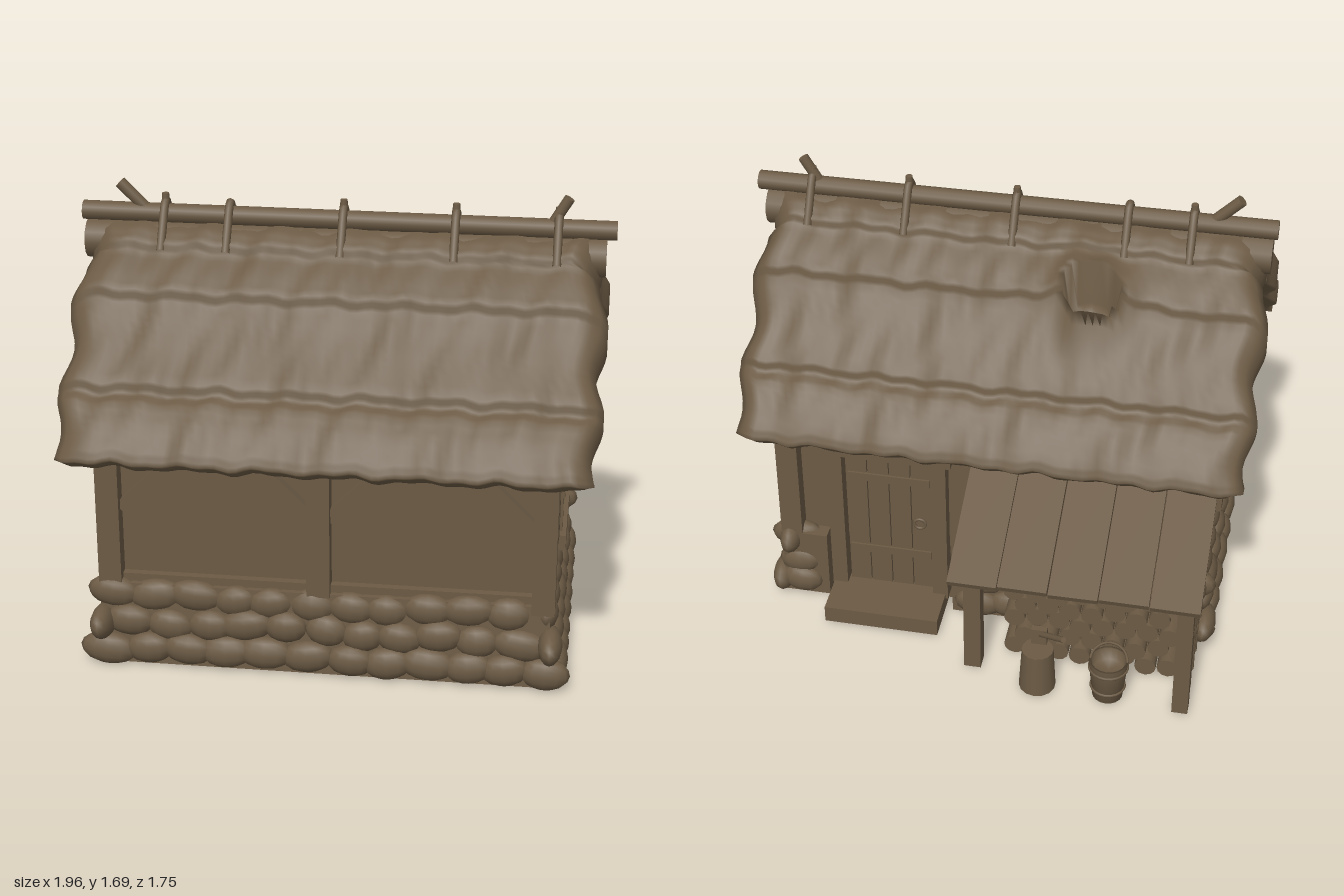
import * as THREE from 'three';
import { mergeGeometries } from 'three/addons/utils/BufferGeometryUtils.js';

const brown = new THREE.MeshStandardMaterial({ color: 0x6b5a44 });
brown.name = 'weatheredBrown';
const V = (x, y, z) => new THREE.Vector3(x, y, z);
const RIDGE_Z = 0.19;

let seed = 7;
const rnd = () => (seed = (seed * 16807) % 2147483647) / 2147483647;
const jit = (a) => (rnd() - 0.5) * 2 * a;

export function createModel() {
  const root = new THREE.Group();
  root.name = 'cottage';

  const add = (name, geo, x = 0, y = 0, z = 0) => {
    const m = new THREE.Mesh(geo, brown);
    m.name = name;
    m.position.set(x, y, z);
    root.add(m);
    return m;
  };
  // box given by its min and max on each axis
  const box = (name, x0, x1, y0, y1, z0, z1) =>
    add(name, new THREE.BoxGeometry(x1 - x0, y1 - y0, z1 - z0), (x0 + x1) / 2, (y0 + y1) / 2, (z0 + z1) / 2);
  // bar between two points, square or round
  const bar = (name, a, b, w, d = w, round = false) => {
    const dir = b.clone().sub(a), len = dir.length();
    const geo = round ? new THREE.CylinderGeometry(w, d, len, 12) : new THREE.BoxGeometry(w, len, d);
    const m = add(name, geo);
    m.position.copy(a).add(b).multiplyScalar(0.5);
    m.quaternion.setFromUnitVectors(V(0, 1, 0), dir.normalize());
    return m;
  };

  // --- stone base: tapered core with a doorway gap at the back ---
  const core = new THREE.BoxGeometry(1.7, 0.31, 1.07);
  const cp = core.attributes.position;
  for (let i = 0; i < cp.count; i++) if (cp.getY(i) > 0) {
    cp.setX(i, cp.getX(i) * 0.95);
    if (cp.getZ(i) > 0) cp.setZ(i, cp.getZ(i) - 0.03);
  }
  core.computeVertexNormals();
  add('stoneCore', core, 0, 0.155, 0.235);
  box('backFootingRight', -0.83, 0.15, 0, 0.3, -0.37, -0.3);
  box('backFootingLeft', 0.65, 0.83, 0, 0.3, -0.37, -0.3);

  const stones = [];
  const stone = (x, y, z, sx, sy, sz) => {
    const g = new THREE.SphereGeometry(1, 12, 8);
    g.scale(sx, sy, sz);
    g.rotateX(jit(0.15)); g.rotateZ(jit(0.15));
    g.translate(x, y, z);
    stones.push(g);
  };
  for (let row = 0; row < 3; row++) {
    const y = 0.055 + row * 0.1, inset = row * 0.02;
    for (const s of [1, -1]) {
      const off = row % 2 ? 0.07 : 0;
      for (let x = -0.8 + off; x <= 0.81; x += 0.145 + jit(0.015)) {
        if (s < 0 && x > 0.09 && x < 0.71) continue;
        stone(x * (1 - inset * 0.6), y + jit(0.01), (s > 0 ? 0.765 : -0.365) - s * inset, 0.095 + jit(0.015), 0.062, 0.045);
      }
      for (let z = -0.33 + off; z <= 0.76; z += 0.145 + jit(0.015))
        stone(s * (0.84 - inset), y + jit(0.01), z, 0.045, 0.062, 0.095 + jit(0.015));
    }
  }
  for (const g of stones) g.translate(0, 0.008, 0);
  add('foundationStones', mergeGeometries(stones));

  // --- plaster walls and gables ---
  box('walls', -0.78, 0.78, 0.28, 0.87, -0.31, 0.69);
  const tri = new THREE.Shape([[-0.53, 0], [0.53, 0], [0, 0.52]].map(([a, b]) => new THREE.Vector2(a, b)));
  const gable = new THREE.ExtrudeGeometry(tri, { depth: 1.52, bevelEnabled: false });
  gable.rotateY(Math.PI / 2);
  add('gableWalls', gable, -0.76, 0.85, RIDGE_Z);

  // --- timber frame ---
  for (const s of [1, -1]) {
    for (const z of [0.705, -0.325]) box('cornerPost', s * 0.79 - 0.042, s * 0.79 + 0.042, 0.28, 0.84, z - 0.045, z + 0.045);
    const x = s * 0.785;
    box('gableTieBeam', x - 0.035, x + 0.035, 0.83, 0.89, -0.35, 0.73);
    bar('kingPost', V(x, 0.87, RIDGE_Z), V(x, 1.38, RIDGE_Z), 0.05, 0.06);
    bar('collarBeam', V(x, 1.14, -0.02), V(x, 1.14, 0.4), 0.04, 0.045);
    for (const t of [1, -1]) {
      bar('gableStrut', V(x, 0.9, RIDGE_Z + t * 0.05), V(x, 1.08, RIDGE_Z + t * 0.23), 0.04, 0.045);
      bar('upperStrut', V(x, 1.15, RIDGE_Z + t * 0.14), V(x, 1.27, RIDGE_Z + t * 0.02), 0.03, 0.035);
      bar('gableRafter', V(x + s * 0.02, 0.84, RIDGE_Z + t * 0.54), V(x + s * 0.02, 1.37, RIDGE_Z), 0.07, 0.06);
      bar('sideBrace', V(x, 0.7, RIDGE_Z + t * 0.48), V(x, 0.83, RIDGE_Z + t * 0.36), 0.03, 0.04);
    }
    bar('frontBrace', V(s * 0.75, 0.6, 0.705), V(s * 0.53, 0.82, 0.705), 0.045, 0.035);
    bar('middleBrace', V(-0.02 + s * 0.03, 0.6, 0.705), V(-0.02 + s * 0.25, 0.82, 0.705), 0.045, 0.035);
  }
  box('frontMiddlePost', -0.065, 0.02, 0.3, 0.84, 0.67, 0.75);
  box('frontPlate', -0.84, 0.84, 0.8, 0.87, 0.66, 0.75);
  box('backPlate', -0.84, 0.84, 0.8, 0.87, -0.37, -0.28);
  box('frontSill', -0.78, 0.78, 0.3, 0.34, 0.67, 0.72);
  box('backMiddlePost', 0.04, 0.11, 0.28, 0.82, -0.36, -0.29);

  // --- side windows with shutters ---
  for (const s of [1, -1]) {
    const slab = (name, out, y0, y1, z0, z1) =>
      box(name, Math.min(s * 0.76, s * out), Math.max(s * 0.76, s * out), y0, y1, z0, z1);
    slab('shutter', 0.83, 0.42, 0.665, 0.33, 0.49);
    slab('shutter', 0.83, 0.42, 0.665, -0.12, 0.06);
    slab('windowLintel', 0.85, 0.65, 0.715, -0.01, 0.4);
    slab('windowSill', 0.855, 0.375, 0.435, -0.02, 0.4);
    slab('windowJamb', 0.84, 0.42, 0.67, 0.31, 0.36);
    slab('windowJamb', 0.84, 0.42, 0.67, 0.03, 0.08);
    slab('windowMullion', 0.81, 0.43, 0.66, 0.183, 0.207);
    slab('windowBar', 0.81, 0.535, 0.555, 0.08, 0.31);
  }

  // --- back door and step ---
  for (let i = 0; i < 4; i++) box('doorPlank', 0.232 + i * 0.085, 0.313 + i * 0.085, 0.07, 0.72, -0.33, -0.29);
  box('doorPost', 0.17, 0.23, 0.05, 0.78, -0.365, -0.29);
  box('doorPost', 0.575, 0.635, 0.05, 0.78, -0.365, -0.29);
  box('doorLintel', 0.15, 0.655, 0.71, 0.78, -0.37, -0.29);
  for (const y of [0.22, 0.58]) box('doorStrap', 0.24, 0.56, y, y + 0.035, -0.338, -0.32);
  add('doorRing', new THREE.TorusGeometry(0.022, 0.006, 8, 16), 0.28, 0.4, -0.34);
  box('doorStep', 0.18, 0.63, 0, 0.07, -0.525, -0.28);

  // --- thatched roof: one closed cross-section swept along x ---
  const half = [[0, 1.53], [0.06, 1.515], [0.11, 1.48], [0.122, 1.445], [0.19, 1.395], [0.25, 1.345], [0.262, 1.3],
    [0.33, 1.225], [0.4, 1.155], [0.485, 1.075], [0.496, 1.035], [0.54, 1.015], [0.6, 0.96], [0.665, 0.885], [0.685, 0.845], [0.66, 0.818]];
  const fine = [];
  half.forEach(([d, y], i) => {
    const n = half[i + 1];
    if (n) for (let k = 0; k < 3; k++) fine.push([d + (n[0] - d) * k / 3, y + (n[1] - y) * k / 3]);
    else fine.push([d, y]);
  });
  const outer = [...fine.slice(1).reverse().map(([d, y]) => [d, y]), ...fine.map(([d, y]) => [-d, y])];
  const NX = 72, M = outer.length * 2, pos = [], idx = [];
  for (let i = 0; i <= NX; i++) {
    const u = (i / NX) * 2 - 1, e = Math.max(0, (Math.abs(u) - 0.92) / 0.08);
    const pinch = 1 - 0.4 * e * e;
    const top = [], under = [];
    for (const [d, y] of outer) {
      const a = Math.abs(d), id = d * 0.84, iy = 1.37 - 0.98 * Math.abs(id);
      const x = u * (0.955 + 0.018 * Math.cos(a * 25) + (y > 1.45 ? -0.03 : 0));
      let oy = y + 0.006 * Math.sin(x * 23 + a * 9) + 0.004 * Math.sin(x * 51 + d * 30);
      // swelling and opening of the smoke hole on the back slope
      const hx = x + 0.32, hd = d + 0.25;
      oy += 0.1 * Math.exp(-((hx / 0.15) ** 2) - (hd / 0.1) ** 2);
      if ((hx / 0.095) ** 2 + (hd / 0.055) ** 2 < 1) oy -= 0.17;
      const od = d + Math.sign(d) * 0.005 * Math.sin(x * 37);
      top.push(x, iy + (oy - iy) * pinch, RIDGE_Z + id + (od - id) * pinch);
      under.unshift([x, iy, RIDGE_Z + id]);
    }
    pos.push(...top, ...under.flat());
  }
  for (let i = 0; i < NX; i++) for (let j = 0; j < M; j++) {
    const a = i * M + j, b = i * M + (j + 1) % M;
    idx.push(a, a + M, b, b, a + M, b + M);
  }
  for (let j = 0; j < M / 2 - 1; j++) {
    const a = j, b = j + 1, c = M - 1 - j, d = M - 2 - j, o = NX * M;
    idx.push(a, b, c, b, d, c, o + a, o + c, o + b, o + b, o + c, o + d);
  }
  // orient faces outward
  for (let k = 0; k < idx.length; k += 3) [idx[k + 1], idx[k + 2]] = [idx[k + 2], idx[k + 1]];
  const roof = new THREE.BufferGeometry();
  roof.setAttribute('position', new THREE.Float32BufferAttribute(pos, 3));
  roof.setIndex(idx);
  roof.computeVertexNormals();
  const thatch = brown;
  thatch.side = THREE.DoubleSide;
  add('thatchRoof', roof);
  bar('ridgeRoll', V(-0.955, 1.455, RIDGE_Z), V(0.955, 1.455, RIDGE_Z), 0.075, 0.075, true);

  // --- ridge pole, rope ties and crossed pegs ---
  bar('ridgePole', V(-0.97, 1.56, RIDGE_Z), V(0.99, 1.555, RIDGE_Z), 0.036, 0.036, true);
  for (const x of [-0.66, -0.42, 0, 0.41, 0.78]) {
    const path = new THREE.CatmullRomCurve3([V(x, 1.45, 0.31), V(x, 1.51, 0.27), V(x, 1.605, 0.2),
      V(x, 1.605, 0.18), V(x, 1.51, 0.11), V(x, 1.45, 0.07)]);
    add('ridgeTie', new THREE.TubeGeometry(path, 20, 0.016, 8));
    if (x !== -0.42) bar('tieKnot', V(x, 1.57, RIDGE_Z), V(x, 1.635, RIDGE_Z), 0.013, 0.018, true);
  }
  bar('ridgePeg', V(-0.73, 1.57, RIDGE_Z), V(-0.83, 1.67, RIDGE_Z), 0.022, 0.022, true);
  bar('ridgePeg', V(0.75, 1.56, RIDGE_Z), V(0.815, 1.67, RIDGE_Z), 0.02, 0.02, true);

  // --- lean-to: plank roof, posts, braces ---
  for (let i = 0; i < 5; i++) {
    const p = add('leanToPlank', new THREE.BoxGeometry(0.18, 0.026, 0.55), -0.768 + i * 0.184, 0.7 + (i % 2) * 0.006, -0.612);
    p.rotation.x = -0.385;
    p.rotation.z = jit(0.02);
  }
  for (const x of [-0.8, 0.01]) bar('leanToRafter', V(x, 0.75, -0.35), V(x, 0.565, -0.81), 0.05);
  bar('leanToBeam', V(-0.84, 0.6, -0.67), V(0.05, 0.6, -0.67), 0.05);
  bar('leanToPost', V(0.01, 0, -0.635), V(0.01, 0.62, -0.635), 0.065);
  bar('leanToPost', V(-0.8, 0, -0.735), V(-0.8, 0.59, -0.735), 0.06);
  bar('leanToBrace', V(0.01, 0.42, -0.65), V(0.01, 0.57, -0.78), 0.035);
  bar('leanToBrace', V(0.0, 0.42, -0.64), V(-0.16, 0.59, -0.66), 0.035);
  bar('leanToBrace', V(-0.8, 0.4, -0.73), V(-0.65, 0.59, -0.68), 0.035);

  // --- woven side screen ---
  for (let i = 0; i < 24; i++) {
    const y = 0.06 + i * 0.0265, end = y > 0.58 ? -0.72 + (y - 0.58) * 2.4 : -0.74;
    bar('screenReed', V(-0.815 + jit(0.01), y + jit(0.008), -0.37), V(-0.815 + jit(0.01), y + jit(0.008), end), 0.008, 0.008, true);
  }
  for (const z of [-0.42, -0.52, -0.62]) bar('screenStake', V(-0.815, 0, z), V(-0.815, 0.72 + (z + 0.42) * 0.4, z), 0.011, 0.011, true);

  // --- firewood stack, log ends facing out ---
  for (let r = 0; r < 5; r++) for (let i = 0; i < 8 - (r % 2); i++) {
    const x = -0.73 + i * 0.085 + (r % 2) * 0.042, y = 0.042 + r * 0.073;
    bar('firewoodLog', V(x, y, -0.4), V(x, y, -0.57 + jit(0.02)), 0.041, 0.041, true);
  }

  // --- chopping block with axe, bucket ---
  add('choppingBlock', new THREE.CylinderGeometry(0.06, 0.07, 0.18, 14), -0.25, 0.09, -0.71);
  bar('axeHandle', V(-0.25, 0.22, -0.67), V(-0.36, 0.32, -0.79), 0.011, 0.011, true);
  box('axeHead', -0.28, -0.22, 0.17, 0.25, -0.685, -0.66);
  const pail = [[0, 0], [0.058, 0], [0.075, 0.17], [0.066, 0.17], [0.058, 0.12], [0, 0.12]].map(([r, y]) => new THREE.Vector2(r, y));
  add('bucket', new THREE.LatheGeometry(pail, 18), -0.52, 0, -0.71);
  for (const [y, r] of [[0.045, 0.063], [0.14, 0.072]]) add('bucketHoop', new THREE.TorusGeometry(r, 0.006, 6, 20).rotateX(Math.PI / 2), -0.52, y, -0.71);
  add('bucketHandle', new THREE.TorusGeometry(0.07, 0.005, 6, 16, Math.PI), -0.52, 0.165, -0.71).rotation.x = 0.9;
  return root;
}
